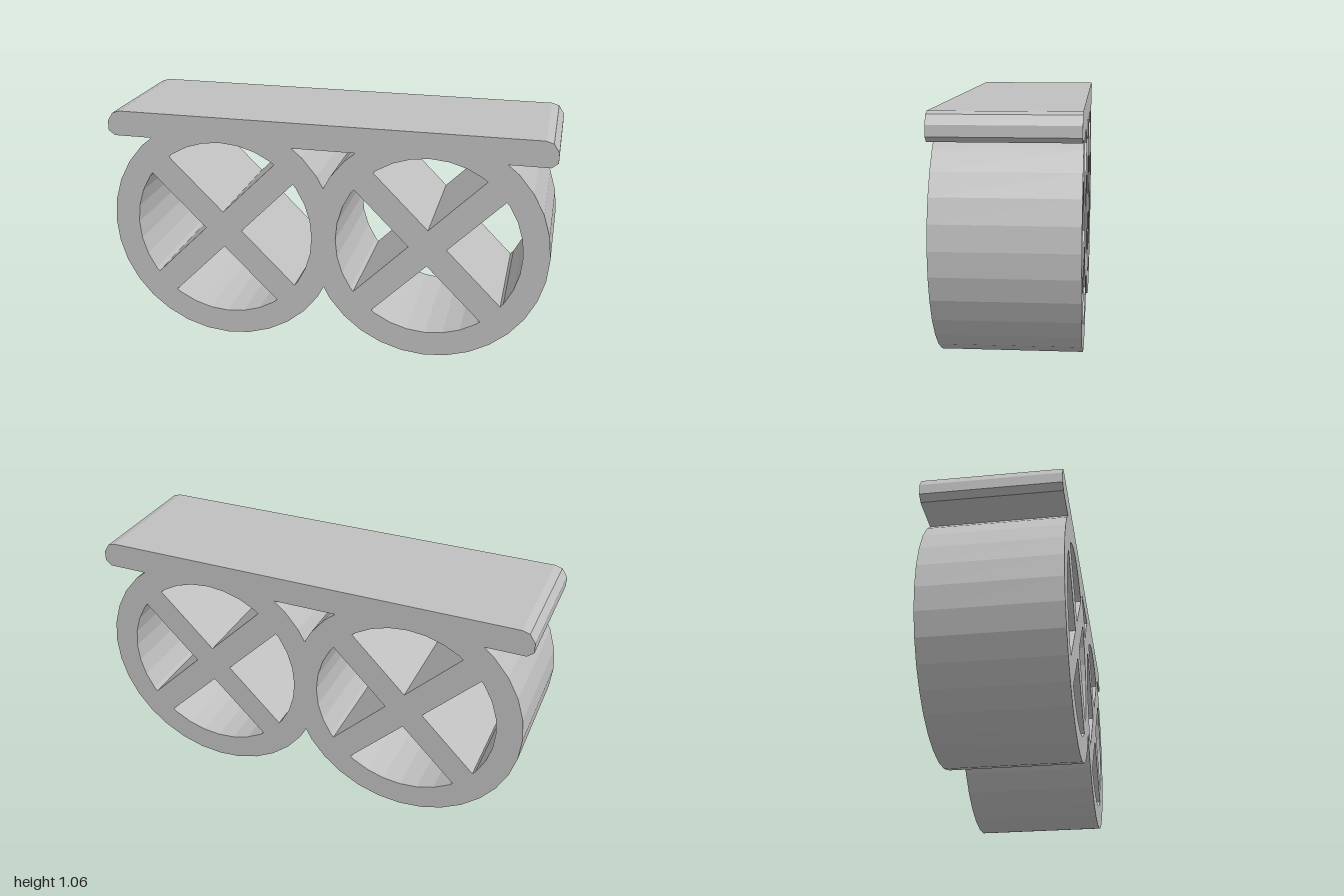
import * as THREE from 'three';

const DEPTH = 0.588;
const CX = 0.47, CY = 0.53; // wheel centre
const OUTER = 0.53, INNER = 0.415, SPOKE_HALF = 0.06;
const STEP = 360 / 32; // wheels are 32-sided

// Point on a 32-sided polygon of radius r at an angle in degrees
function rim(r, deg) {
  const rad = THREE.MathUtils.degToRad;
  const local = ((deg % STEP) + STEP) % STEP;
  const d = r * Math.cos(rad(STEP / 2)) / Math.cos(rad(local - STEP / 2));
  return new THREE.Vector2(d * Math.cos(rad(deg)), d * Math.sin(rad(deg)));
}

// Polygon arc: both ends plus every polygon corner between them
function arc(r, from, to) {
  const pts = [rim(r, from)];
  for (let k = Math.floor(from / STEP) + 1; k * STEP < to - 1e-6; k++) pts.push(rim(r, k * STEP));
  pts.push(rim(r, to));
  return pts;
}

function extrude(shape, material, name) {
  const geometry = new THREE.ExtrudeGeometry(shape, { depth: DEPTH, bevelEnabled: false });
  geometry.translate(0, 0, -DEPTH / 2);
  const mesh = new THREE.Mesh(geometry, material);
  mesh.name = name;
  return mesh;
}

// Wheel trimmed where it meets its twin and the deck, with four openings between crossed spokes
function wheelShape() {
  const shape = new THREE.Shape([...arc(OUTER, 128, 153), ...arc(OUTER, 207, 412)]);
  const gap = THREE.MathUtils.radToDeg(Math.asin(SPOKE_HALF / INNER));
  for (let i = 0; i < 4; i++) {
    const mid = i * 90;
    const a = THREE.MathUtils.degToRad(mid), tip = SPOKE_HALF * Math.SQRT2;
    shape.holes.push(new THREE.Path([
      new THREE.Vector2(tip * Math.cos(a), tip * Math.sin(a)),
      ...arc(INNER, mid - 45 + gap, mid + 45 - gap),
    ]));
  }
  return shape;
}

// Flat deck with faceted, rounded ends
function deckShape() {
  const end = [[0.972, 0.945], [1, 0.967], [1, 1.012], [0.975, 1.05], [0.942, 1.06]];
  const mirrored = end.map(([x, y]) => [-x, y]).reverse();
  return new THREE.Shape([...end, ...mirrored].map(([x, y]) => new THREE.Vector2(x, y)));
}

export function createModel() {
  const group = new THREE.Group();
  group.name = 'twinWheelStand';
  const grey = new THREE.MeshStandardMaterial({ color: 0xc0c0c0 });
  grey.name = 'light grey';

  group.add(extrude(deckShape(), grey, 'deck'));

  for (const side of [1, -1]) {
    const wheel = extrude(wheelShape(), grey, side > 0 ? 'leftWheel' : 'rightWheel');
    wheel.position.set(side * CX, CY, 0);
    if (side < 0) wheel.rotation.y = Math.PI;
    group.add(wheel);
  }
  return group;
}
